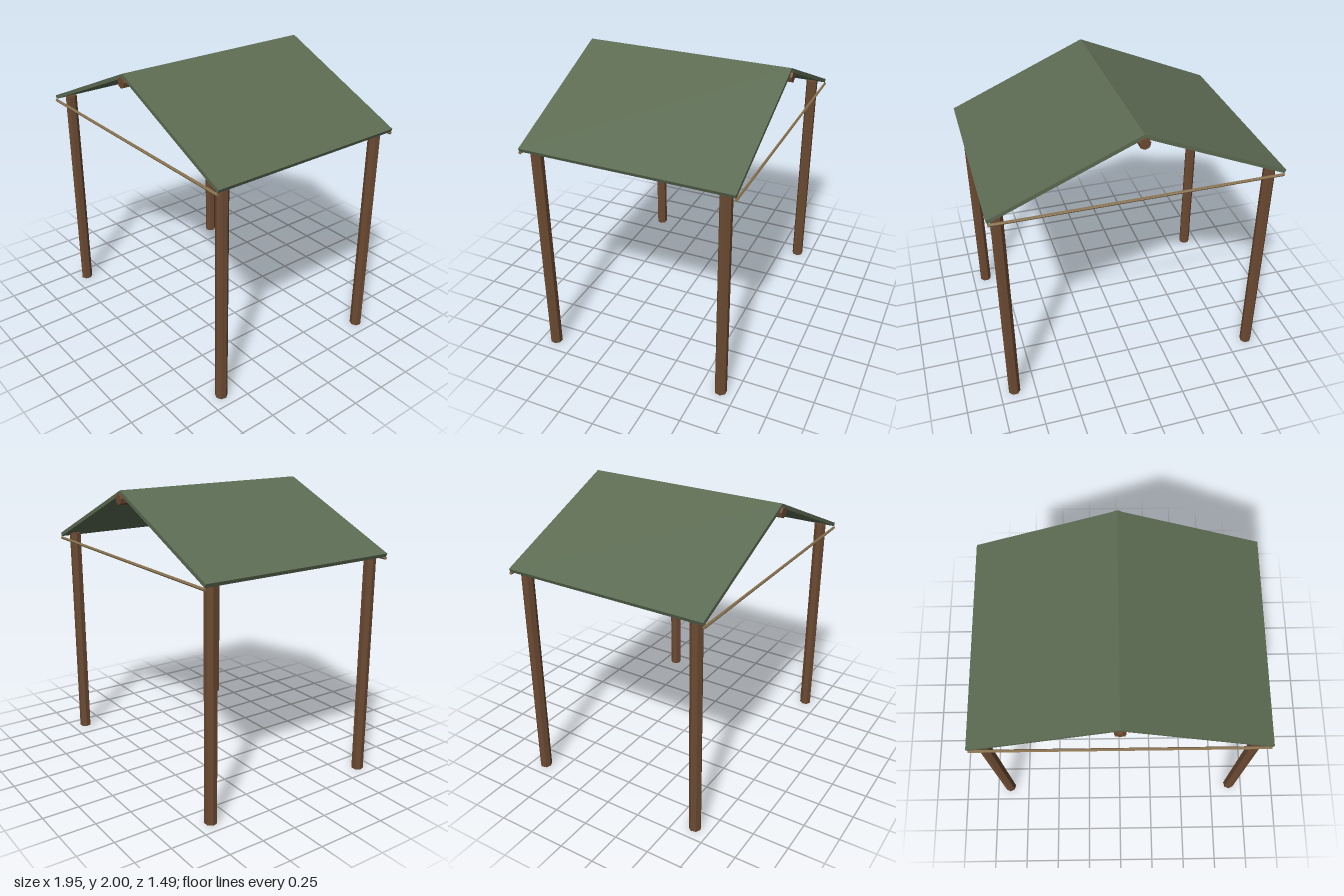
import * as THREE from 'three';

export function createModel() {
  const group = new THREE.Group();
  const mat = (name, color) => {
    const m = new THREE.MeshStandardMaterial({ color, flatShading: true });
    m.name = name;
    return m;
  };
  const canvas = mat('green canvas', 0x5c6b52);
  const wood = mat('brown wood', 0x6b4a32);
  const rope = mat('tan rope', 0x8a7350);

  const add = (name, geometry, material, x = 0, y = 0, z = 0) => {
    const mesh = new THREE.Mesh(geometry, material);
    mesh.name = name;
    mesh.position.set(x, y, z);
    group.add(mesh);
    return mesh;
  };

  // Four seven-sided corner posts
  const postHeight = 1.585;
  const post = new THREE.CylinderGeometry(0.042, 0.042, postHeight, 7);
  for (const [side, x] of [['left', 0.9], ['right', -0.9]]) {
    for (const [end, z] of [['Front', 0.645], ['Back', -0.645]]) {
      add(side + end + 'Post', post, wood, x, postHeight / 2, z);
    }
  }

  // Ridge beam under the peak, running front to back
  const beam = new THREE.CylinderGeometry(0.037, 0.037, 1.49, 7).rotateX(Math.PI / 2);
  add('ridgeBeam', beam, wood, 0, 1.942, 0);

  // Thin lines tied across the front and back eaves
  const line = new THREE.CylinderGeometry(0.01, 0.01, 1.93, 6).rotateZ(Math.PI / 2);
  add('frontLine', line, rope, 0, 1.545, 0.73);
  add('backLine', line, rope, 0, 1.545, -0.73);

  // Two sloping roof sheets meeting in a mitre at the ridge
  for (const [name, s] of [['leftRoof', 1], ['rightRoof', -1]]) {
    const profile = new THREE.Shape([
      [0, 2], [0, 1.972], [0.965, 1.555], [0.975, 1.579],
    ].map(([x, y]) => new THREE.Vector2(s * x, y)));
    const sheet = new THREE.ExtrudeGeometry(profile, { depth: 1.46, bevelEnabled: false });
    add(name, sheet, canvas, 0, 0, -0.73);
  }
  return group;
}
